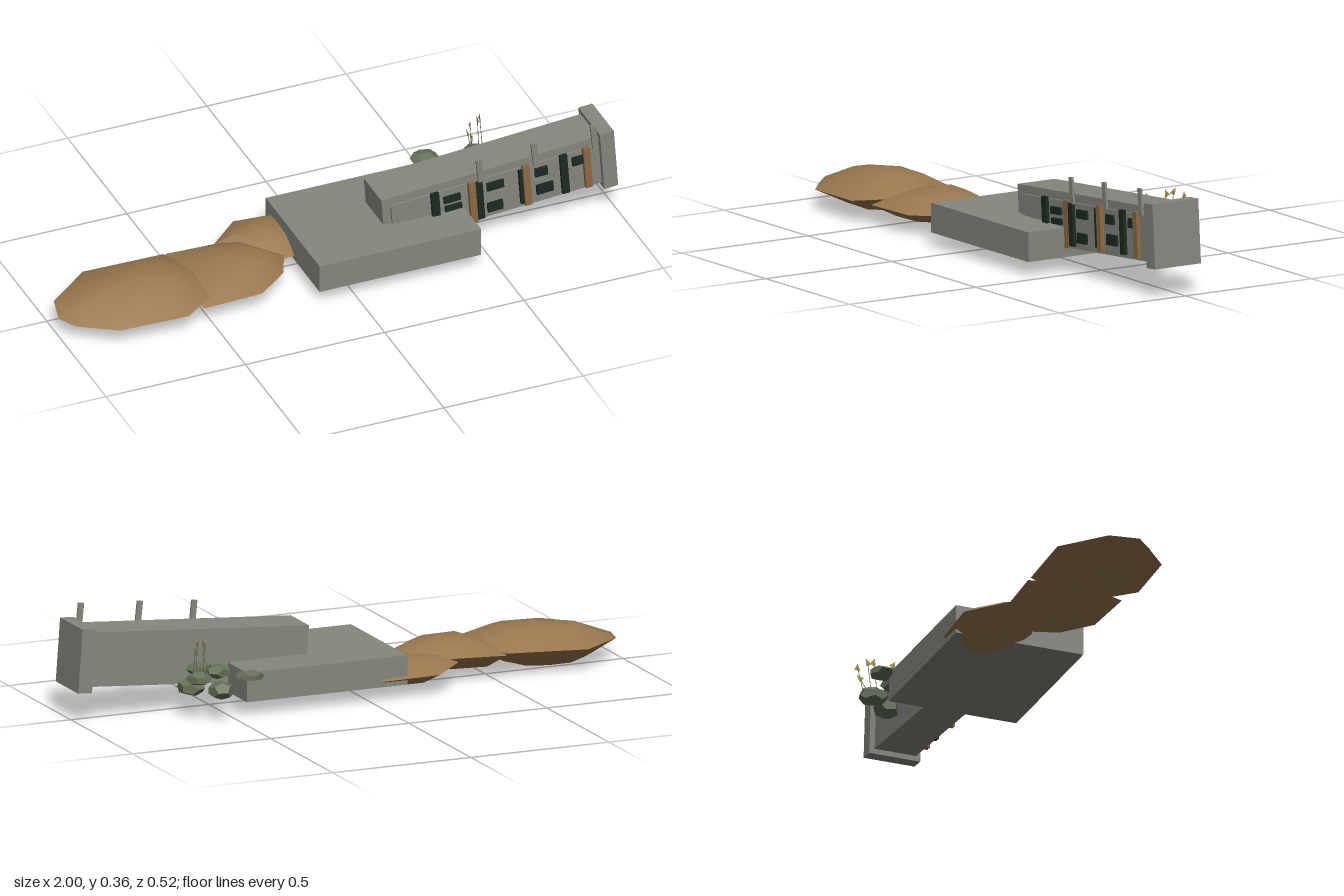
import * as THREE from 'three';
import { toCreasedNormals } from 'three/addons/utils/BufferGeometryUtils.js';

function material(name, color, extra = {}) {
  const m = new THREE.MeshStandardMaterial({ color, ...extra });
  m.name = name;
  return m;
}

// Boulder: a waist outline of [x, y, z] domed up to a top point and down to a bottom point
function boulderGeometry(outline, top, bottom) {
  const pos = [], index = [], n = outline.length;
  for (const [apex, up] of [[top, true], [bottom, false]]) {
    const base = pos.length / 3;
    for (const [spread, rise] of [[1, 0], [0.55, 0.72]]) {
      for (const [x, y, z] of outline) {
        pos.push(apex[0] + (x - apex[0]) * spread, y + (apex[1] - y) * rise, apex[2] + (z - apex[2]) * spread);
      }
    }
    pos.push(...apex);
    for (let i = 0; i < n; i++) {
      const j = (i + 1) % n, a = base + i, b = base + j, c = a + n, d = b + n, tip = base + 2 * n;
      if (up) index.push(a, b, d, a, d, c, c, d, tip);
      else index.push(a, d, b, a, c, d, c, tip, d);
    }
  }
  const g = new THREE.BufferGeometry();
  g.setAttribute('position', new THREE.Float32BufferAttribute(pos, 3));
  g.setIndex(index);
  return toCreasedNormals(g, 0.7);
}

export function createModel() {
  const root = new THREE.Group();
  const stone = material('grey stone', 0x86877e);
  const earth = material('brown earth', 0x9a7850, { side: THREE.DoubleSide });
  const wood = material('brown wood', 0x8c6a45);
  const dark = material('dark green', 0x1c2a22);
  const moss = material('moss green', 0x66725a, { flatShading: true });
  const gold = material('dull gold', 0xab974f, { side: THREE.DoubleSide });

  const add = (name, geometry, mat, x = 0, y = 0, z = 0, tilt = 0) => {
    const mesh = new THREE.Mesh(geometry, mat);
    mesh.name = name;
    mesh.position.set(x, y, z);
    mesh.rotation.z = tilt;
    root.add(mesh);
    return mesh;
  };
  const box = (name, mat, w, h, d, x, y, z, tilt) =>
    add(name, new THREE.BoxGeometry(w, h, d), mat, x, y, z, tilt);

  // Foundation slab and the tilted wall with its end cap
  const tilt = 0.073;
  box('slab', stone, 0.58, 0.1, 0.455, 0.16, 0.1, 0.03);
  box('wall', stone, 0.78, 0.185, 0.148, 0.552, 0.182, 0.031, tilt);
  box('wallPanel', stone, 0.74, 0.14, 0.008, 0.562, 0.177, 0.109, tilt);
  box('endCap', stone, 0.05, 0.217, 0.182, 0.967, 0.211, 0.03, tilt);

  // Uprights on the wall front
  for (const [x, y] of [[0.503, 0.285], [0.7, 0.302], [0.913, 0.318]]) {
    box('post', stone, 0.02, 0.09, 0.008, x, y, 0.121, tilt + 0.03);
  }
  for (const [x, y, h] of [[0.478, 0.168, 0.16], [0.672, 0.188, 0.155], [0.889, 0.203, 0.155]]) {
    box('woodPlank', wood, 0.024, h, 0.016, x, y, 0.12, tilt);
  }
  for (const [x, y, w, h] of [[0.345, 0.178, 0.028, 0.12], [0.503, 0.17, 0.026, 0.145],
    [0.652, 0.185, 0.012, 0.13], [0.807, 0.197, 0.026, 0.15]]) {
    box('darkPlank', dark, w, h, 0.012, x, y, 0.12, tilt);
  }

  // Small dark patches between the uprights
  for (const [x, y, w, h] of [[0.405, 0.2, 0.06, 0.025], [0.41, 0.165, 0.06, 0.02], [0.56, 0.213, 0.06, 0.03],
    [0.56, 0.132, 0.055, 0.035], [0.725, 0.225, 0.045, 0.032], [0.738, 0.158, 0.06, 0.036], [0.857, 0.235, 0.042, 0.032]]) {
    box('darkPatch', dark, w, h, 0.009, x, y, 0.117, tilt);
  }

  // Earth mounds trailing off to one side
  add('outerMound', boulderGeometry([
    [-1, 0.07, 0.1], [-0.96, 0.06, 0.15], [-0.84, 0.07, 0.245], [-0.6, 0.075, 0.26], [-0.5, 0.09, 0.2],
    [-0.46, 0.09, 0.06], [-0.54, 0.09, -0.1], [-0.82, 0.08, -0.12], [-0.975, 0.075, 0],
  ], [-0.68, 0.15, 0.06], [-0.74, 0.002, 0.02]), earth);
  add('middleMound', boulderGeometry([
    [-0.58, 0.08, 0.05], [-0.53, 0.07, 0.23], [-0.32, 0.07, 0.22], [-0.21, 0.075, 0.14],
    [-0.17, 0.08, 0.05], [-0.27, 0.09, -0.07], [-0.34, 0.09, -0.09], [-0.53, 0.085, -0.105],
  ], [-0.36, 0.137, 0.05], [-0.45, 0.015, 0.06]), earth);
  add('innerMound', boulderGeometry([
    [-0.36, 0.08, -0.1], [-0.3, 0.07, -0.01], [-0.18, 0.07, 0.055], [-0.06, 0.06, 0.03],
    [0.02, 0.052, -0.08], [-0.04, 0.07, -0.205], [-0.24, 0.075, -0.215],
  ], [-0.2, 0.122, -0.09], [-0.17, 0.024, -0.08]), earth);

  // Mossy stones behind the wall
  [[0.45, 0.147, -0.222, 0.05, 0.02], [0.55, 0.105, -0.212, 0.05, 0.03], [0.62, 0.147, -0.19, 0.045, 0.024],
    [0.53, 0.152, -0.145, 0.048, 0.024], [0.625, 0.106, -0.135, 0.05, 0.03], [0.575, 0.155, -0.095, 0.048, 0.026],
  ].forEach(([x, y, z, r, h], i) => {
    const m = add('mossStone', new THREE.DodecahedronGeometry(1), moss, x, y, z);
    m.scale.set(r, h, r * 0.9);
    m.rotation.y = i * 1.3;
  });

  // Slender stems with flat pointed heads: [x, base y, base z, head y, head z, head turn]
  const head = new THREE.Shape([[0, 0.015], [-0.011, -0.012], [0.012, -0.01]].map(p => new THREE.Vector2(...p)));
  for (const [x, y0, z0, y1, z1, turn] of [[0.58, 0.165, -0.137, 0.249, -0.128, 0.5], [0.6, 0.15, -0.178, 0.257, -0.19, 0.3],
    [0.63, 0.15, -0.185, 0.268, -0.199, -0.5], [0.65, 0.14, -0.2, 0.253, -0.227, 0], [0.61, 0.14, -0.2, 0.197, -0.236, -0.9]]) {
    const path = new THREE.LineCurve3(new THREE.Vector3(x, y0, z0), new THREE.Vector3(x, y1, z1));
    add('stem', new THREE.TubeGeometry(path, 1, 0.0013, 4), moss);
    const flower = add('stemHead', new THREE.ShapeGeometry(head), gold, x, y1, z1);
    flower.rotation.set(0, Math.PI / 2, turn);
  }
  return root;
}
